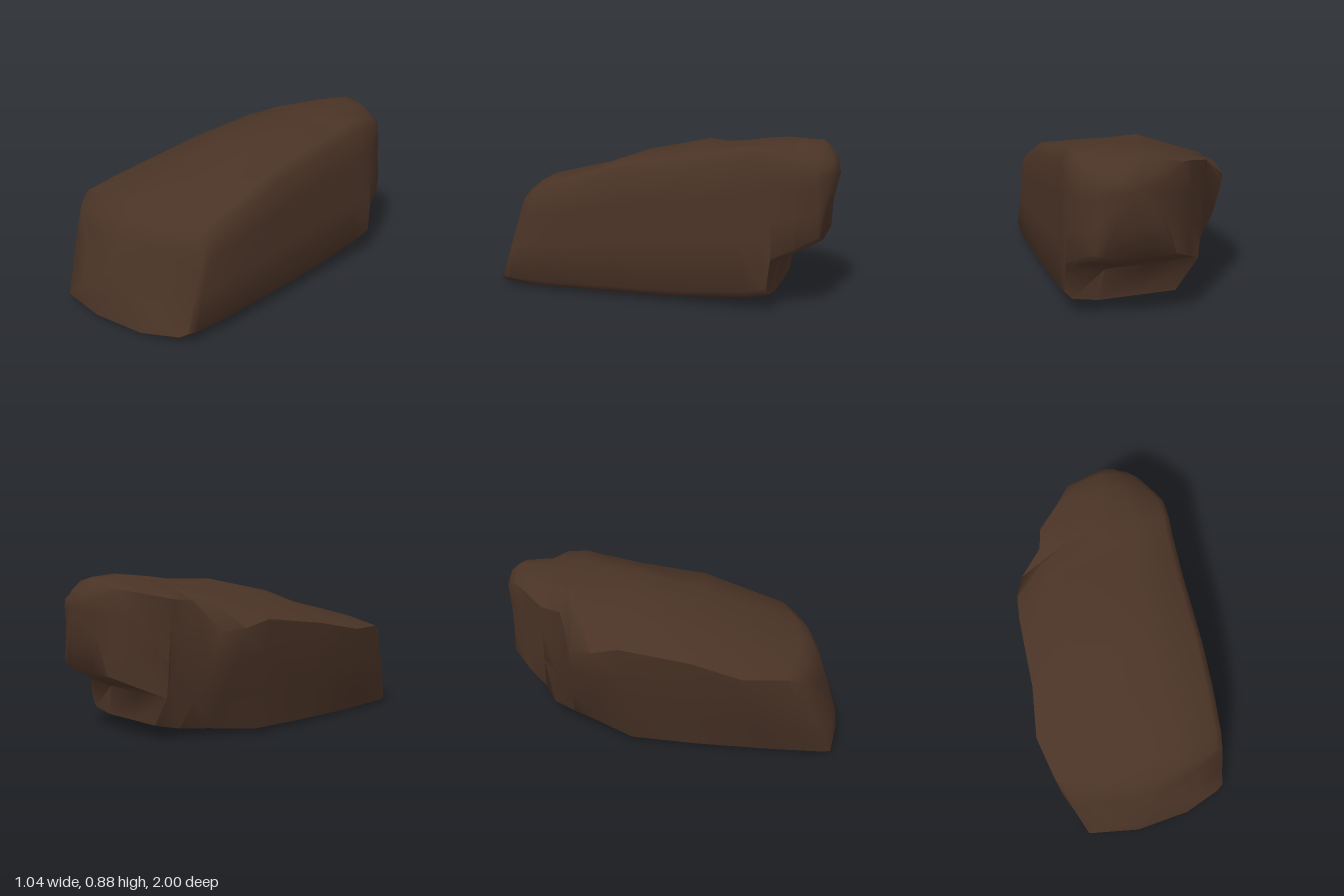
import * as THREE from 'three';
import { toCreasedNormals } from 'three/addons/utils/BufferGeometryUtils.js';

// One cross-section: z at bottom/top, base height, left base x, left shoulder (x, y),
// ridge (x, y), right side x, right shoulder y, how far the corners sweep back,
// and how far along and up the left slope bends between shoulder and ridge.
function section([zb, zt, yb, xl, xs, ys, xt, yt, xr, yr, sweep = 0, bendX = 0.5, bendY = 0.56]) {
  const h = yr - yb;
  const outline = [
    [xl, yb + 0.005],
    [xl + (xs - xl) * 0.42, yb + (ys - yb) * 0.36],
    [xl + (xs - xl) * 0.8, yb + (ys - yb) * 0.7],
    [xs, ys],
    [xs + (xt - xs) * bendX, ys + (yt - ys) * bendY],
    [xt, yt],
    [xt + (xr - xt) * 0.45, yr + (yt - yr) * 0.7],
    [xr - 0.05, yr],
    [xr - 0.01, yr - h * 0.07],
    [xr, yr - h * 0.3],
    [xr, yb + h * 0.4],
    [xr + 0.01, yb + h * 0.06 + 0.01],
    [xr - 0.03, yb + 0.015],
    [xl + (xr - xl) * 0.72, yb - 0.005],
    [xl + (xr - xl) * 0.35, yb],
  ];
  return outline.map(([x, y]) => new THREE.Vector3(
    x, y, zb + (zt - zb) * (y - yb) / (yt - yb) - sweep * (x + 0.03) ** 2));
}

// Skins the cross-sections from front to back and closes both ends
function loft(rings, front, back) {
  const n = rings[0].length;
  const points = [...rings.flat(), front, back];
  const index = [];
  for (let i = 0; i < rings.length - 1; i++) {
    for (let j = 0; j < n; j++) {
      const k = (j + 1) % n;
      const a = i * n + j, b = i * n + k, c = b + n, d = a + n;
      index.push(a, b, c, a, c, d);
    }
  }
  const f = rings.length * n, last = f - n;
  for (let j = 0; j < n; j++) {
    const k = (j + 1) % n;
    index.push(f, k, j, f + 1, last + j, last + k);
  }
  const geometry = new THREE.BufferGeometry().setFromPoints(points);
  geometry.setIndex(index);
  return toCreasedNormals(geometry, 1.05);
}

export function createModel() {
  const group = new THREE.Group();
  group.name = 'rock';
  const stone = new THREE.MeshStandardMaterial({ color: 0x4a3326 });
  stone.name = 'dark brown stone';

  const rings = [
    [1.0, 0.83, 0.02, -0.345, -0.42, 0.49, 0.0, 0.53, 0.49, 0.51, 0.45], // front edge
    [0.96, 0.75, 0.014, -0.35, -0.47, 0.53, 0.0, 0.585, 0.5, 0.575, 0.42],
    [0.62, 0.41, 0.006, -0.345, -0.52, 0.54, -0.05, 0.665, 0.51, 0.655],
    [0.17, 0.17, 0.015, -0.35, -0.48, 0.6, -0.05, 0.75, 0.51, 0.74],
    [-0.18, -0.23, 0.02, -0.33, -0.47, 0.655, 0.0, 0.84, 0.5, 0.795], // ridge
    [-0.42, -0.36, 0.04, -0.2, -0.455, 0.62, 0.05, 0.835, 0.5, 0.82, 0, 0.36, 0.66],
    [-0.56, -0.47, 0.05, -0.13, -0.405, 0.61, 0.08, 0.85, 0.5, 0.84, 0, 0.27, 0.68], // side shelf
    [-0.69, -0.56, 0.08, -0.08, -0.27, 0.765, 0.1, 0.865, 0.505, 0.86],
    [-0.7, -0.69, 0.25, -0.2, -0.24, 0.78, 0.1, 0.88, 0.5, 0.85], // step under the overhang
    [-0.82, -0.8, 0.31, -0.11, -0.12, 0.81, 0.15, 0.882, 0.46, 0.8],
    [-0.93, -0.9, 0.37, 0.0, -0.03, 0.83, 0.16, 0.88, 0.4, 0.79],
    [-0.95, -0.97, 0.54, 0.09, 0.07, 0.77, 0.19, 0.82, 0.34, 0.77], // back end
  ].map(section);

  // Inner ring that shapes the sloping front face
  const front = new THREE.Vector3(0.02, 0.27, 0.935);
  const inner = rings[0].map((p) => {
    const q = p.clone().lerp(front, 0.35);
    q.z += 0.012;
    return q;
  });

  const body = new THREE.Mesh(
    loft([inner, ...rings], front, new THREE.Vector3(0.2, 0.72, -1)), stone);
  body.name = 'rockBody';
  group.add(body);
  return group;
}
